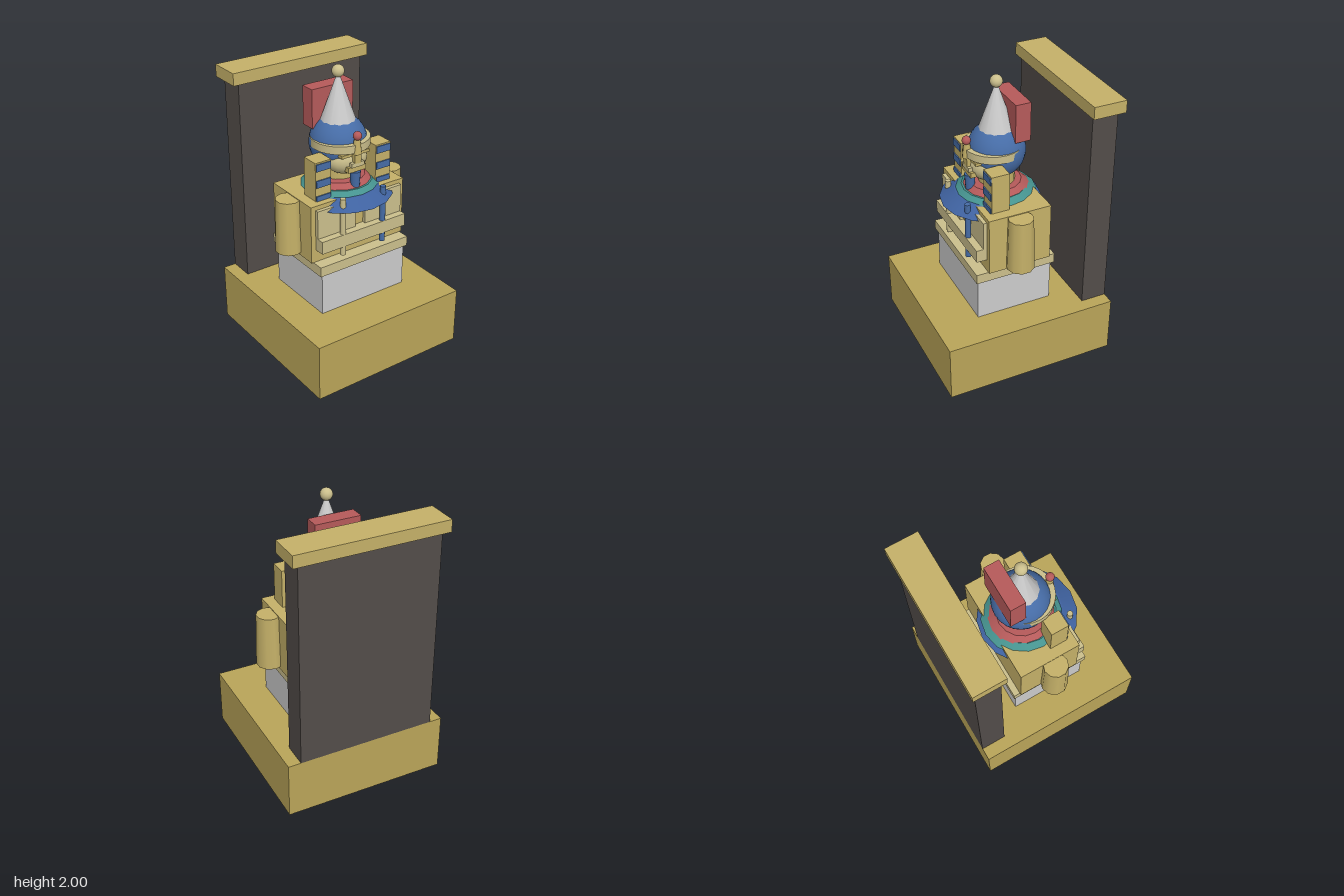
import * as THREE from 'three';

const mat = (color) => new THREE.MeshStandardMaterial({ color });

export function createModel() {
  const model = new THREE.Group();
  const M = {
    sand: mat(0xb9a458), gold: mat(0xc4b068), cream: mat(0xcbbf8c), dark: mat(0x524c49),
    grey: mat(0xcccccc), blue: mat(0x466ca6), navy: mat(0x3f62a0), teal: mat(0x46938f), red: mat(0xb55a5a),
  };

  const add = (name, geometry, material, x, y, z) => {
    const mesh = new THREE.Mesh(geometry, material);
    mesh.name = name;
    mesh.position.set(x, y, z);
    model.add(mesh);
    return mesh;
  };
  // box from its limits on each axis
  const box = (name, m, x0, x1, y0, y1, z0, z1) =>
    add(name, new THREE.BoxGeometry(x1 - x0, y1 - y0, z1 - z0), m, (x0 + x1) / 2, (y0 + y1) / 2, (z0 + z1) / 2);
  // upright frustum from bottom y0 to top y1
  const frustum = (name, m, rBottom, rTop, y0, y1, x, z, sides = 16) =>
    add(name, new THREE.CylinderGeometry(rTop, rBottom, y1 - y0, sides), m, x, (y0 + y1) / 2, z);
  const ball = (name, m, r, x, y, z, w = 20, h = 14) =>
    add(name, new THREE.SphereGeometry(r, w, h), m, x, y, z);

  // plinth, rear pillar and seat
  box('plinth', M.sand, -0.58, 0.58, 0, 0.405, -0.59, 0.62);
  box('backPillar', M.dark, -0.49, 0.49, 0.405, 1.845, -0.59, -0.41);
  box('pillarCap', M.gold, -0.535, 0.535, 1.845, 1.93, -0.62, -0.39);
  box('seat', M.grey, -0.34, 0.34, 0.405, 0.705, -0.23, 0.31);
  box('waist', M.cream, -0.36, 0.36, 0.705, 0.775, -0.25, 0.325);

  // torso with chest panels and crossbar
  box('torso', M.gold, -0.375, 0.375, 0.775, 1.185, -0.205, 0.24);
  box('chestBar', M.cream, -0.34, 0.34, 0.865, 0.955, 0.23, 0.315);
  ball('pendant', M.cream, 0.035, 0, 1.125, 0.28, 12, 8);

  for (const s of [-1, 1]) {
    const side = s > 0 ? 'left' : 'right';
    const span = (a, b) => (s > 0 ? [a, b] : [-b, -a]);
    box(side + 'ChestPanel', M.cream, ...span(0.04, 0.34), 0.95, 1.155, 0.23, 0.265);
    frustum(side + 'Arm', M.gold, 0.095, 0.085, 0.8, 1.18, s * 0.415, 0.035, 10);
    frustum(side + 'Sceptre', s > 0 ? M.blue : M.cream, 0.02, 0.02, 0.8, 1.21, s * 0.162, 0.295, 12);

    // striped side lappets of the headdress
    box(side + 'Lappet', M.gold, ...span(0.18, 0.302), 1.18, 1.455, 0.06, 0.187);
    for (const y of [1.195, 1.305, 1.42])
      box(side + 'LappetStripe', M.blue, ...span(0.185, 0.297), y - 0.025, y + 0.025, 0.18, 0.195);
    box(side + 'Brow', M.gold, ...span(0.03, 0.11), 1.44, 1.46, 0.15, 0.21);
  }

  // layered collar and neck
  frustum('outerCollar', M.navy, 0.34, 0.24, 1.13, 1.19, 0, 0.06);
  frustum('middleCollar', M.teal, 0.285, 0.22, 1.17, 1.218, 0, 0.03);
  frustum('innerCollar', M.red, 0.23, 0.175, 1.205, 1.25, 0, 0.022);
  frustum('neck', M.gold, 0.125, 0.12, 1.22, 1.36, 0, 0.012);

  // head and face
  ball('head', M.blue, 0.195, 0, 1.475, 0.012, 24, 18);
  ball('face', M.cream, 0.11, 0, 1.39, 0.105).scale.set(1.36, 0.95, 1);
  box('nose', M.gold, -0.025, 0.025, 1.39, 1.47, 0.18, 0.235);
  box('upperLip', M.cream, -0.05, 0.05, 1.37, 1.4, 0.16, 0.235);
  box('mouth', M.gold, -0.07, 0.07, 1.335, 1.372, 0.15, 0.228);
  frustum('beard', M.blue, 0.03, 0.037, 1.22, 1.33, 0, 0.205, 12);

  // headband with brow ornament
  frustum('headband', M.cream, 0.2, 0.2, 1.47, 1.525, 0, 0.037, 24);
  frustum('ornamentStem', M.gold, 0.033, 0.02, 1.46, 1.57, 0, 0.222, 10);
  ball('ornamentBead', M.red, 0.03, 0, 1.583, 0.225, 14, 10);

  // crown, finial and rear plate
  frustum('crown', M.grey, 0.128, 0.008, 1.6, 1.94, 0, 0.012, 12);
  ball('finial', M.cream, 0.042, 0, 1.958, 0.012);
  box('crownPlate', M.red, -0.162, 0.162, 1.575, 1.845, -0.155, -0.047);

  return model;
}
